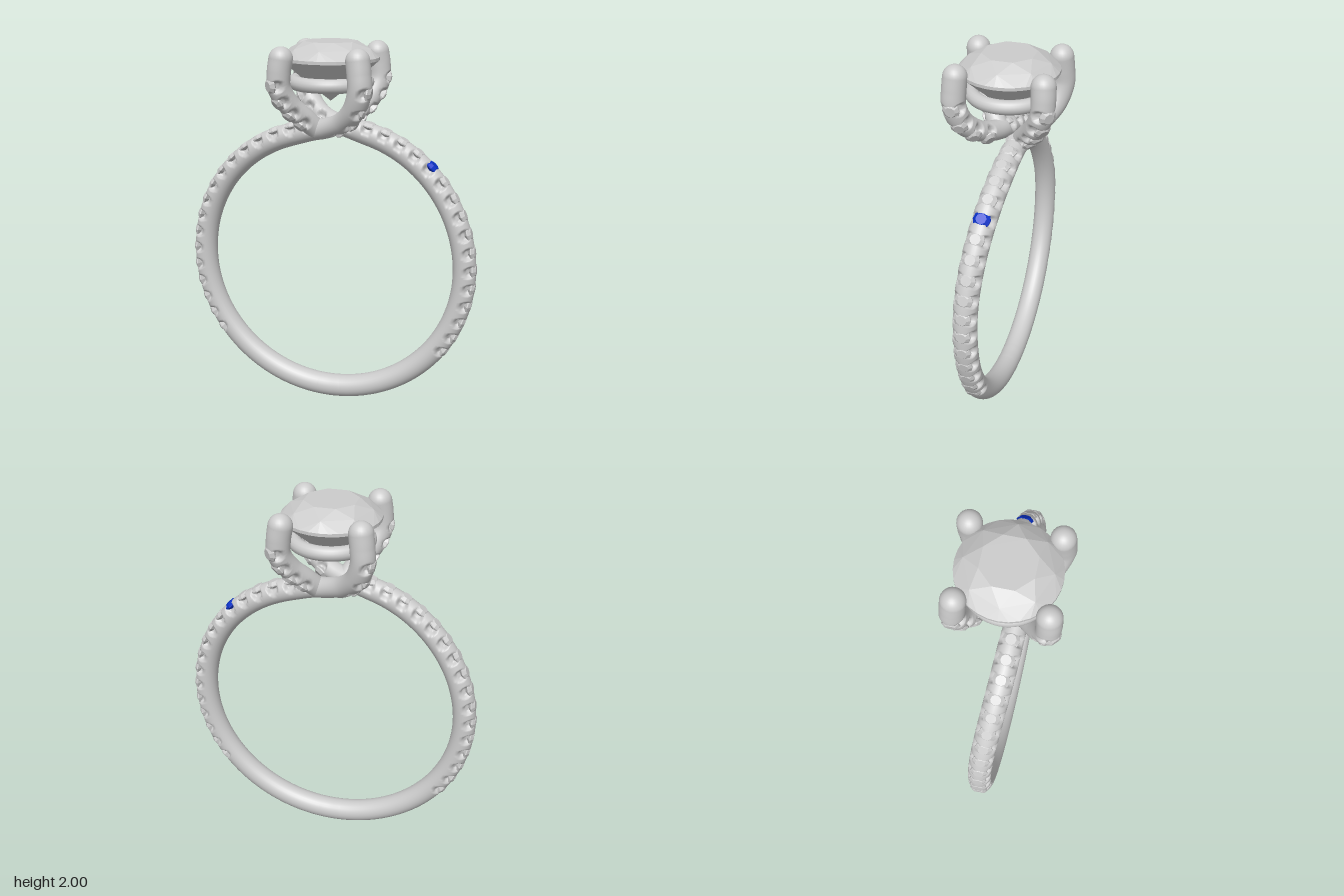
import * as THREE from 'three';
import { mergeVertices } from 'three/addons/utils/BufferGeometryUtils.js';
import { ConvexGeometry } from 'three/addons/geometries/ConvexGeometry.js';

const V = (x, y, z) => new THREE.Vector3(x, y, z);
const R = 0.738, CY = 0.8;
const metal = new THREE.MeshStandardMaterial({ color: 0xcccccc });
const stone = new THREE.MeshStandardMaterial({ color: 0xcccccc, flatShading: true });
const blue = new THREE.MeshStandardMaterial({ color: 0x0a32c8, flatShading: true });

function add(parent, name, geometry, material) {
  const mesh = new THREE.Mesh(geometry, material);
  mesh.name = name;
  parent.add(mesh);
  return mesh;
}

// Point on the band, angle in degrees from the bottom; it drifts back near the top
function bandPoint(deg) {
  const a = THREE.MathUtils.degToRad(deg);
  const z = 0.008 * Math.sin(a) - 0.055 * THREE.MathUtils.smoothstep(deg, 95, 172);
  return V(R * Math.sin(a), CY - R * Math.cos(a), z);
}

// A gem seat: axis point, direction along the wire, outward normal
function makeSeat(point, tangent, outward) {
  const n = outward.clone().addScaledVector(tangent, -outward.dot(tangent)).normalize();
  return { point, tangent, n, side: tangent.clone().cross(n) };
}

// Round wire with small scoops cut at both sides of every seat
function wire(curve, segments, radiusAt, seats) {
  const geo = new THREE.TubeGeometry(curve, segments, 1, 28, false);
  const pos = geo.attributes.position;
  const scoops = seats.flatMap(s => [-1, 1].map(k =>
    s.point.clone().addScaledVector(s.n, 0.036).addScaledVector(s.side, k * 0.05)));
  const v = V(0, 0, 0);
  for (let i = 0; i <= segments; i++) {
    const c = curve.getPointAt(i / segments);
    const near = scoops.filter(s => s.distanceTo(c) < 0.12);
    const r = radiusAt(i / segments);
    for (let j = 0; j <= 28; j++) {
      const k = i * 29 + j;
      v.fromBufferAttribute(pos, k).sub(c).multiplyScalar(r).add(c);
      for (const s of near) {
        const d = v.distanceTo(s) / 0.034;
        if (d < 1) v.lerp(c, 0.42 * Math.min(1, 2.5 * (1 - d)));
      }
      pos.setXYZ(k, v.x, v.y, v.z);
    }
  }
  geo.deleteAttribute('uv');
  geo.deleteAttribute('normal');
  const merged = mergeVertices(geo, 1e-5);
  merged.computeVertexNormals();
  return merged;
}

const gemGeo = new THREE.LatheGeometry(
  [[0, -0.035], [0.045, -0.004], [0.045, 0.002], [0.027, 0.017], [0, 0.017]].map(p => new THREE.Vector2(...p)), 10);

function placeGem(parent, seat, material) {
  const gem = add(parent, 'accentGem', gemGeo, material);
  gem.position.copy(seat.point).addScaledVector(seat.n, 0.046);
  gem.quaternion.setFromUnitVectors(V(0, 1, 0), seat.n);
}

function ball(parent, name, p, r) {
  add(parent, name, new THREE.SphereGeometry(r, 24, 16), metal).position.copy(p);
}

// One shank that sweeps past the centre into a prong, plus the prong rising from it
function makeHalf(accent) {
  const half = new THREE.Group();
  const pts = [];
  for (let d = -5; d <= 165; d += 5) pts.push(bandPoint(d));
  pts.push(V(0.09, 1.54, -0.062), V(0, 1.56, -0.09), V(-0.1, 1.602, -0.14),
    V(-0.178, 1.68, -0.195), V(-0.212, 1.78, -0.222), V(-0.208, 1.86, -0.22), V(-0.2, 1.925, -0.215));
  const shank = new THREE.CatmullRomCurve3(pts, false, 'centripetal');
  shank.arcLengthDivisions = 1000;

  const shankSeats = [];
  for (let i = 0; i < 17; i++) {
    const d = 55.5 + 7.32 * i, p = bandPoint(d);
    const t = bandPoint(d + 0.5).sub(bandPoint(d - 0.5)).normalize();
    shankSeats.push(makeSeat(p, t, V(p.x, p.y - CY, 0)));
  }
  const length = shank.getLength();
  for (const back of [0.15, 0.245, 0.34, 0.435]) {
    const u = 1 - back / length;
    shankSeats.push(makeSeat(shank.getPointAt(u), shank.getTangentAt(u), V(-1, 0, 0)));
  }
  const shankRadius = u => 0.062 - 0.009 * Math.exp(-Math.pow((u - 0.84) / 0.06, 2));
  add(half, 'sweepingShank', wire(shank, 560, shankRadius, shankSeats), metal);
  ball(half, 'prongTip', pts[pts.length - 1], 0.062);

  const prongPts = [V(0.06, 1.55, -0.075), V(0.105, 1.61, -0.12), V(0.17, 1.69, -0.18),
    V(0.207, 1.78, -0.222), V(0.205, 1.86, -0.228), V(0.195, 1.925, -0.225)];
  const prong = new THREE.CatmullRomCurve3(prongPts);
  const prongSeats = [0.19, 0.37, 0.55, 0.72].map(u =>
    makeSeat(prong.getPointAt(u), prong.getTangentAt(u), V(0.7, 0, -0.75)));
  add(half, 'prong', wire(prong, 90, u => 0.054 + 0.008 * u, prongSeats), metal);
  ball(half, 'prongTip', prongPts[5], 0.062);
  ball(half, 'prongFoot', prongPts[0], 0.054);

  shankSeats.forEach((s, i) => placeGem(half, s, accent && i === 11 ? blue : stone));
  prongSeats.forEach(s => placeGem(half, s, stone));
  return half;
}

// Faceted round stone: rings of points from table to culet
function centreStone() {
  const pts = [V(0, 1.69, 0)];
  const ring = (r, y, n, shift) => {
    for (let i = 0; i < n; i++) {
      const a = (i + shift) / n * Math.PI * 2;
      pts.push(V(r * Math.cos(a), y, r * Math.sin(a)));
    }
  };
  ring(0.14, 2, 8, 0.5);
  ring(0.212, 1.964, 8, 0);
  ring(0.255, 1.92, 32, 0);
  ring(0.255, 1.904, 32, 0);
  ring(0.11, 1.775, 16, 0.5);
  return new ConvexGeometry(pts);
}

export function createModel() {
  const ringModel = new THREE.Group();
  ringModel.name = 'ring';

  // Two halves, turned half a circle from each other
  const left = makeHalf(true), right = makeHalf(false);
  left.name = 'leftHalf';
  right.name = 'rightHalf';
  right.rotation.y = Math.PI;
  ringModel.add(left, right);

  // Gallery ring under the stone
  const gallery = add(ringModel, 'galleryRing', new THREE.TorusGeometry(0.19, 0.037, 16, 64), metal);
  gallery.rotation.x = Math.PI / 2;
  gallery.position.y = 1.79;

  add(ringModel, 'centreStone', centreStone(), stone);
  return ringModel;
}
